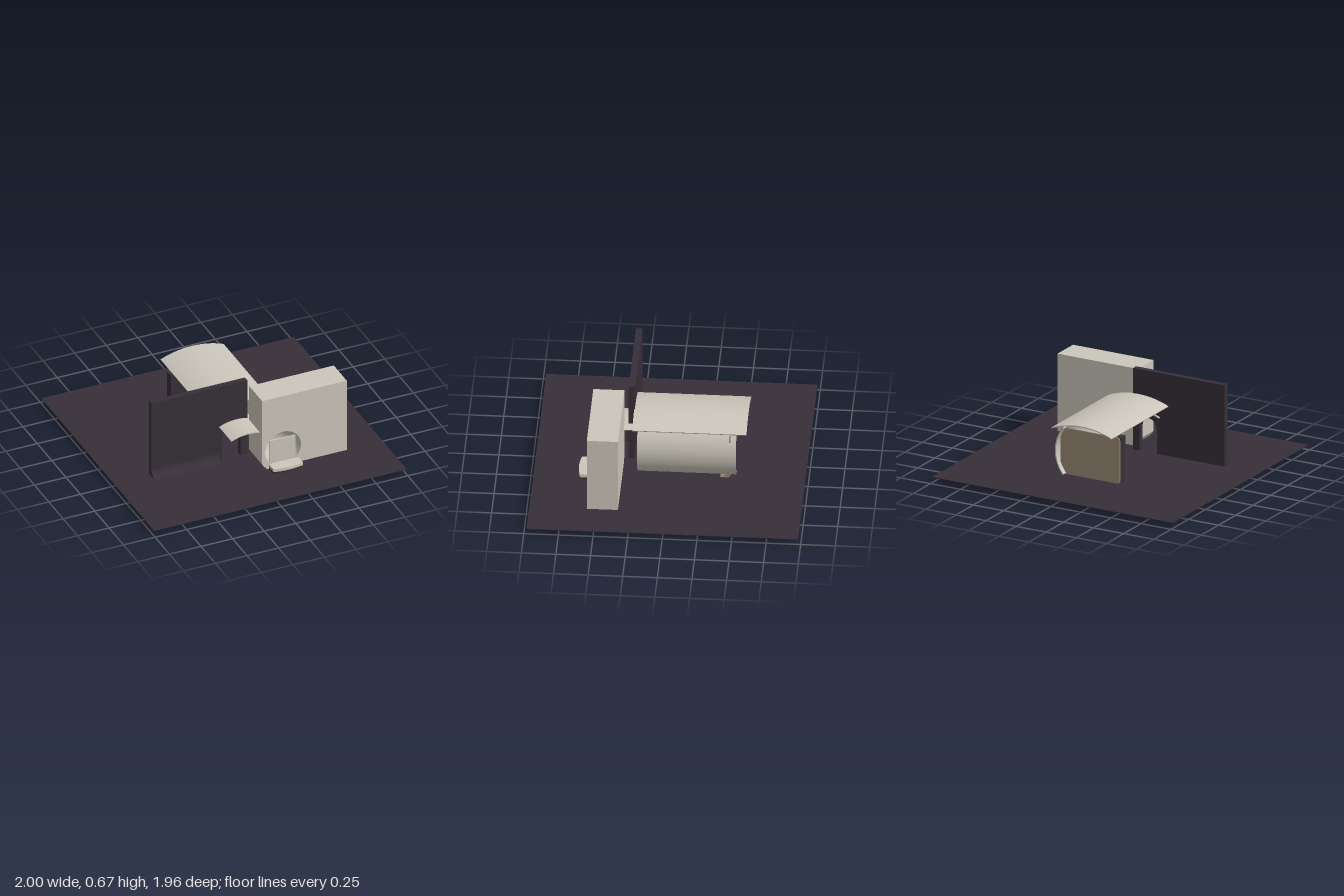
import * as THREE from 'three';
import { toCreasedNormals } from 'three/addons/utils/BufferGeometryUtils.js';

const flat = (name, color) => {
  const m = new THREE.MeshStandardMaterial({ color, side: THREE.DoubleSide });
  m.name = name;
  return m;
};

export function createModel() {
  const model = new THREE.Group();
  const pale = flat('pale plaster', 0xcbc6bb);
  const dark = flat('dark plaster', 0x372f38);
  const brown = flat('warm clay', 0x9a8a76);

  const add = (name, geometry, material) => {
    const mesh = new THREE.Mesh(geometry, material);
    mesh.name = name;
    model.add(mesh);
    return mesh;
  };
  const box = (name, mat, x0, x1, y0, y1, z0, z1) =>
    add(name, new THREE.BoxGeometry(x1 - x0, y1 - y0, z1 - z0), mat)
      .position.set((x0 + x1) / 2, (y0 + y1) / 2, (z0 + z1) / 2);

  // Extrudes an upright x-y shape from z0 to z1
  const extrude = (shape, z0, z1) => {
    const g = new THREE.ExtrudeGeometry(shape, { depth: z1 - z0, bevelEnabled: false, curveSegments: 24 });
    g.translate(0, 0, z0);
    return toCreasedNormals(g, 0.5);
  };
  // Thin curved sheet: arc about (cx, cy) between two angles
  const sheet = (name, cx, cy, r, a0, a1, z0, z1, t = 0.008) => {
    const s = new THREE.Shape();
    s.absarc(cx, cy, r, a0, a1, false);
    s.absarc(cx, cy, r - t, a1, a0, true);
    s.closePath();
    add(name, extrude(s, z0, z1), pale);
  };
  // Concave fillet along x, where an upright face at z meets the ground
  const cove = (name, mat, x0, x1, z, r) => {
    const s = new THREE.Shape();
    s.moveTo(z, GROUND);
    s.lineTo(z + r, GROUND);
    s.absarc(z + r, GROUND + r, r, -Math.PI / 2, -Math.PI, true);
    s.closePath();
    add(name, extrude(s, -x1, -x0).rotateY(-Math.PI / 2), mat);
  };
  const GROUND = 0.045;

  // Ground sheet
  box('ground', dark, -1, 1, GROUND - 0.005, GROUND, -0.98, 0.98);

  // Dark wall with an arched doorway
  const wall = new THREE.Shape();
  wall.moveTo(-0.715, 0).lineTo(0.045, 0).lineTo(0.045, 0.665).lineTo(-0.715, 0.665).closePath();
  const door = new THREE.Path();
  door.moveTo(-0.155, 0.02).lineTo(-0.01, 0.02).lineTo(-0.01, 0.22);
  door.absellipse(-0.0825, 0.22, 0.0725, 0.085, 0, Math.PI, false, 0);
  door.closePath();
  wall.holes.push(door);
  add('doorWall', extrude(wall, 0.265, 0.31), dark);
  cove('wallCove', dark, -0.715, -0.18, 0.31, 0.065);

  // Pale block: rounded lower corner and round window opening
  const wx = 0.21, wy = 0.19, wr = 0.142;
  const block = new THREE.Shape();
  block.moveTo(0.715, 0).lineTo(0.715, 0.635).lineTo(0.045, 0.635).lineTo(0.045, 0.096);
  block.absarc(wx, wy, 0.19, Math.PI + 0.518, Math.PI * 1.5, false);
  block.closePath();
  const opening = new THREE.Path();
  opening.absarc(wx, wy, wr, 0, Math.PI * 2, true);
  const back = block.clone();
  block.holes.push(opening);
  add('windowBlock', extrude(block, 0.41, 0.565), pale);
  add('windowBlockBack', extrude(back, 0.34, 0.41), pale);

  // Concave bowl and square pane inside the window
  const bowl = new THREE.SphereGeometry(wr, 40, 16, 0, Math.PI * 2, 0, Math.PI / 2);
  bowl.rotateX(-Math.PI / 2);
  add('windowBowl', bowl, pale).position.set(wx, wy, 0.563);
  box('windowPane', pale, 0.105, 0.31, 0.08, 0.275, 0.55, 0.56);

  // Sill step with a bowed front edge
  const step = (name, mat, y0, y1) => {
    const s = new THREE.Shape();
    s.moveTo(0.1, -0.56).lineTo(0.1, -0.642);
    s.quadraticCurveTo(0.2175, -0.67, 0.335, -0.642);
    s.lineTo(0.335, -0.56).closePath();
    add(name, extrude(s, y0, y1).rotateX(-Math.PI / 2), mat);
  };
  step('stepBase', dark, GROUND, 0.06);
  step('stepTop', pale, 0.06, 0.083);

  // Vaulted roof, door canopy and bulging side wall
  const up = Math.PI / 2;
  sheet('roof', 0, -0.175, 0.65, up - 0.395, up + 0.395, -0.555, 0.27);
  sheet('doorCanopy', -0.04, 0.016, 0.342, up - 0.422, up + 0.422, 0.25, 0.52);
  sheet('sideShell', -0.017, 0.2275, 0.282, -0.69, 0.69, -0.48, 0.235);

  // Clay rear panel with rounded corners and a coved foot
  const panel = new THREE.Shape();
  const x0 = -0.25, x1 = 0.24, y0 = GROUND, y1 = 0.395, r = 0.025;
  panel.absarc(x1 - r, y0 + r, r, -up, 0, false);
  panel.absarc(x1 - r, y1 - r, r, 0, up, false);
  panel.absarc(x0 + r, y1 - r, r, up, Math.PI, false);
  panel.absarc(x0 + r, y0 + r, r, Math.PI, Math.PI * 1.5, false);
  panel.closePath();
  add('rearPanel', extrude(panel, -0.44, -0.43), brown);
  cove('rearCove', brown, x0, x1, -0.43, 0.065);

  // Dark pier against the rear panel
  box('rearPier', dark, -0.255, -0.11, GROUND, 0.395, -0.43, -0.365);

  return model;
}
